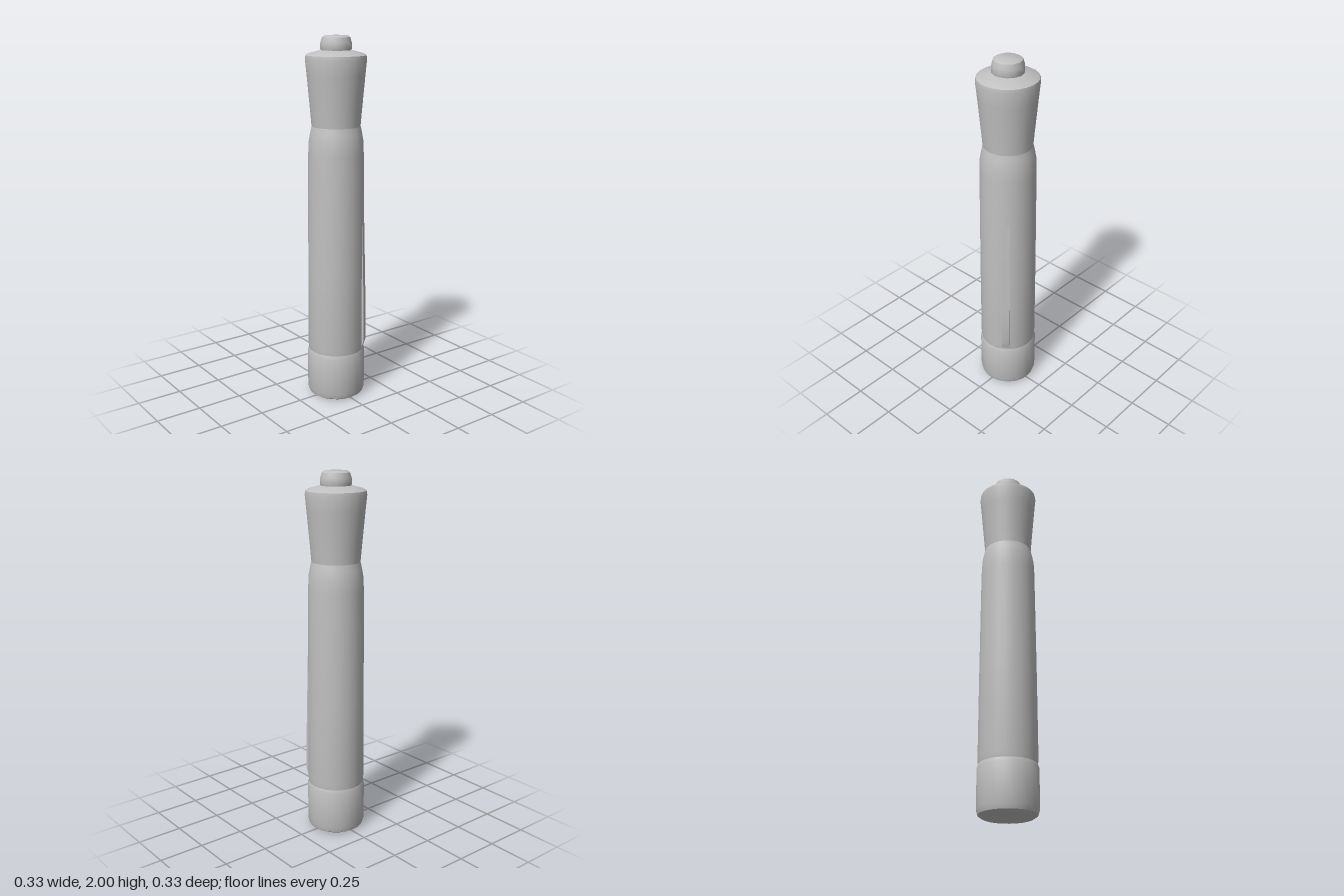
import * as THREE from 'three';
import { toCreasedNormals } from 'three/addons/utils/BufferGeometryUtils.js';

export function createModel() {
  const model = new THREE.Group();
  const grey = new THREE.MeshStandardMaterial({ color: 0xc0c0c0 });
  grey.name = 'grey';

  const add = (name, geometry) => {
    const mesh = new THREE.Mesh(toCreasedNormals(geometry, 0.65), grey);
    mesh.name = name;
    model.add(mesh);
    return mesh;
  };
  // Turned part from [radius, height] pairs, listed from the bottom up
  const turned = (name, profile, sides) =>
    add(name, new THREE.LatheGeometry(profile.map(([r, y]) => new THREE.Vector2(r, y)), sides));

  // End cap, hollowed underneath
  turned('endCap', [
    [0, 0.055], [0.06, 0.05], [0.12, 0.008], [0.135, 0], [0.153, 0.012],
    [0.161, 0.04], [0.161, 0.25], [0.154, 0.27],
  ], 24);

  // Slightly tapering barrel with a rounded shoulder
  turned('barrel', [
    [0.154, 0.27], [0.157, 0.3], [0.155, 0.75], [0.15, 1.38],
    [0.147, 1.45], [0.139, 1.495], [0.131, 1.53],
  ], 24);

  // Flared collar with a shallow sloping top
  turned('collar', [
    [0.131, 1.53], [0.137, 1.6], [0.155, 1.8], [0.163, 1.88],
    [0.16, 1.9], [0.145, 1.909], [0.08, 1.926],
  ], 24);

  // Push button
  turned('button', [
    [0.08, 1.92], [0.085, 1.935], [0.083, 1.965], [0.074, 1.992], [0.06, 2], [0, 2],
  ], 14);

  // Thin ridge along the barrel, thickest near its lower end
  const side = new THREE.Shape([
    [0.13, 0.28], [0.155, 0.285], [0.168, 0.33], [0.165, 0.55], [0.15, 1.15], [0.13, 1.15],
  ].map(([r, y]) => new THREE.Vector2(r, y)));
  const ridge = new THREE.ExtrudeGeometry(side, { depth: 0.044, bevelEnabled: false });
  ridge.translate(0, 0, -0.022);
  add('ridge', ridge).rotation.y = 0.66;

  return model;
}
